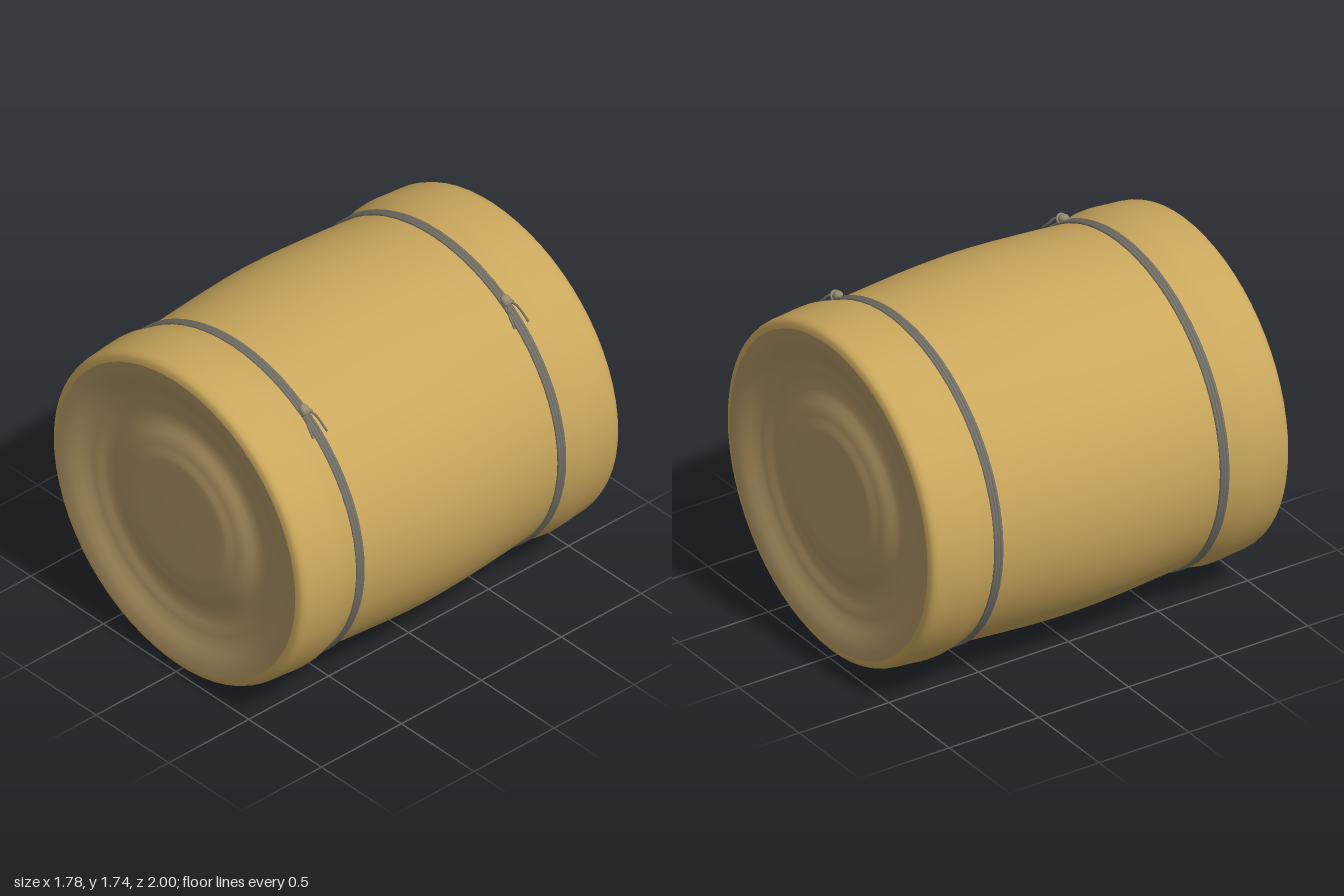
import * as THREE from 'three';

const CY = 0.87;      // height of the bale's axis
const WIDEN = 1.025;  // the bale is slightly wider than tall

const material = (name, color, side = THREE.FrontSide) => {
  const m = new THREE.MeshStandardMaterial({ color, side });
  m.name = name;
  return m;
};

const addMesh = (parent, name, geometry, mat) => {
  const mesh = new THREE.Mesh(geometry, mat);
  mesh.name = name;
  parent.add(mesh);
  return mesh;
};

// Lathe about the z axis, squashed to the bale's oval section
function latheZ(points, segments = 64) {
  const g = new THREE.LatheGeometry(points.map(([r, z]) => new THREE.Vector2(r, z)), segments);
  return g.rotateX(Math.PI / 2).scale(WIDEN, 1, 1).translate(0, CY, 0);
}

// Point on the oval section: angle from +x towards up
const onOval = (angle, radius, z) => new THREE.Vector3(
  WIDEN * radius * Math.cos(angle), CY + radius * Math.sin(angle), z);

// Half profile of the wrapping, from the middle out to the end rim
const SIDE = [[0.87, 0], [0.8675, 0.12], [0.862, 0.24], [0.854, 0.36], [0.844, 0.5],
  [0.836, 0.59], [0.833, 0.63], [0.838, 0.66], [0.85, 0.71], [0.859, 0.75], [0.861, 0.78],
  [0.859, 0.82], [0.853, 0.88], [0.849, 0.94], [0.845, 0.965], [0.837, 0.985],
  [0.822, 0.996], [0.8, 1]];

// Rippled end face: radius and depth below the rim
const FACE = [[0.8, 0], [0.76, 0.004], [0.72, 0.014], [0.68, 0.032], [0.64, 0.048], [0.61, 0.053],
  [0.585, 0.056], [0.56, 0.064], [0.53, 0.069], [0.49, 0.068], [0.46, 0.06], [0.43, 0.045],
  [0.4, 0.034], [0.375, 0.031], [0.35, 0.026], [0.325, 0.018], [0.3, 0.015],
  [0.25, 0.016], [0.15, 0.015], [0, 0.015]];

export function createModel() {
  const model = new THREE.Group();
  model.name = 'strawBale';
  const straw = material('golden straw', 0xcaa75c);
  const cut = material('cut straw ends', 0xb29564);
  const twine = material('grey twine', 0x77746a);
  const knotMat = material('knot twine', 0x968c72);

  // Bulging side of the bale, mirrored about the middle
  const back = SIDE.slice(1).reverse().map(([r, z]) => [r, -z]);
  addMesh(model, 'baleSide', latheZ([...back, ...SIDE]), straw);

  // Rolled ends
  addMesh(model, 'frontEnd', latheZ(FACE.map(([r, d]) => [r, 1 - d])), cut);
  addMesh(model, 'backEnd', latheZ(FACE.map(([r, d]) => [r, d - 1]).reverse()), cut);

  // Two bindings, each of three strands with a knot and two loose tails
  for (const [label, z] of [['front', 0.63], ['back', -0.63]]) {
    const binding = new THREE.Group();
    binding.name = label + 'Binding';
    model.add(binding);

    for (const offset of [-0.016, 0, 0.016]) {
      const ring = new THREE.TorusGeometry(0.839, 0.009, 6, 72);
      ring.scale(WIDEN, 1, 1).translate(0, CY, z + offset);
      addMesh(binding, 'strand', ring, twine);
    }

    const angle = 0.997;
    const knot = addMesh(binding, 'knot', new THREE.SphereGeometry(0.027, 12, 8), knotMat);
    knot.position.copy(onOval(angle, 0.856, z));
    knot.rotation.z = angle;
    knot.scale.set(0.8, 1.15, 0.95);
    const wrap = addMesh(binding, 'knotWrap', new THREE.TorusGeometry(0.022, 0.008, 6, 14), knotMat);
    wrap.position.copy(onOval(angle - 0.022, 0.856, z));
    wrap.lookAt(onOval(angle - 0.1, 0.856, z));

    for (const s of [-1, 1]) {
      const path = new THREE.CatmullRomCurve3([
        onOval(angle - 0.01, 0.862, z + s * 0.005),
        onOval(angle - 0.045, 0.868, z + s * 0.022),
        onOval(angle - 0.09, 0.858, z + s * 0.036),
        onOval(angle - 0.16, 0.852, z + s * 0.043)]);
      addMesh(binding, 'tail', new THREE.TubeGeometry(path, 12, 0.006, 6), twine);
    }
  }
  return model;
}
